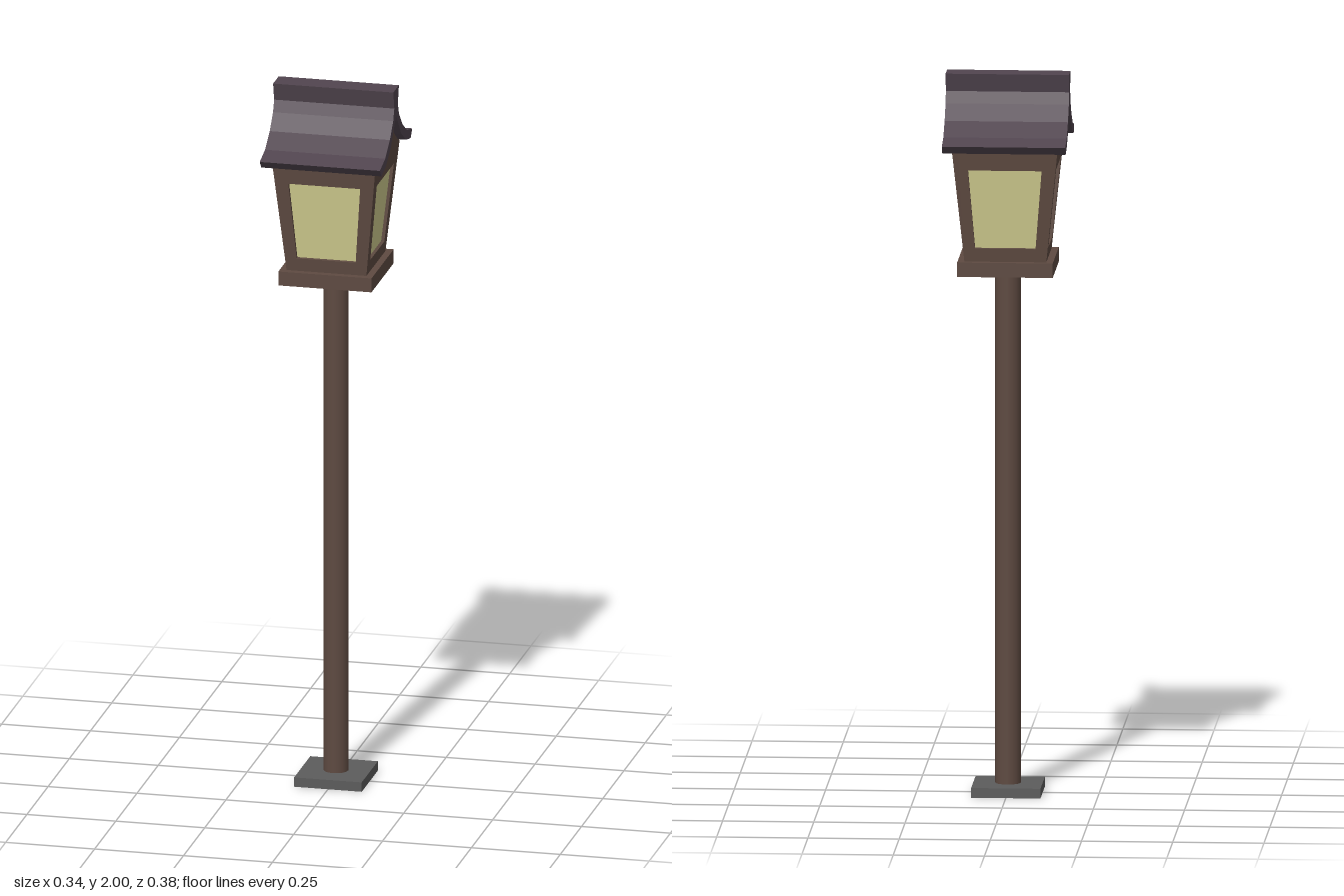
import * as THREE from 'three';

const wood = new THREE.MeshStandardMaterial({ color: 0x5e4a41, flatShading: true });
const poleWood = new THREE.MeshStandardMaterial({ color: 0x5e4a41 });
const tile = new THREE.MeshStandardMaterial({ color: 0x51454f, flatShading: true });
const stone = new THREE.MeshStandardMaterial({ color: 0x5c5c5c, flatShading: true });
const paper = new THREE.MeshStandardMaterial({ color: 0xcfcb8e, side: THREE.DoubleSide });

const BODY_Y = 1.49;      // bottom of the lantern body
const BODY_HALF = 0.112;  // half width there
const SLOPE = 0.103;      // outward flare per unit of height

// Half profiles of the roof as [z, y]: upper surface from ridge to eave, underside from eave to apex
const roofTop = [[0.033, 2.0], [0.021, 1.95], [0.034, 1.918], [0.073, 1.876], [0.128, 1.84], [0.191, 1.825]];
const roofUnder = [[0.172, 1.803], [0.12, 1.815], [0.062, 1.85], [0.02, 1.9], [0, 1.925]];

function shapeOf(points) {
  return new THREE.Shape(points.map(([x, y]) => new THREE.Vector2(x, y)));
}

// Closes a right-hand half outline by mirroring it across x = 0
function mirrored(half) {
  const other = half.filter(([x]) => x !== 0).map(([x, y]) => [-x, y]).reverse();
  return [...half, ...other];
}

function add(parent, name, geometry, material, x = 0, y = 0, z = 0) {
  const mesh = new THREE.Mesh(geometry, material);
  mesh.name = name;
  mesh.position.set(x, y, z);
  parent.add(mesh);
  return mesh;
}

// One leaning wall with a tapered window and a recessed pane
function makeWall(gabled) {
  const wall = new THREE.Group();
  const halfAt = (y) => BODY_HALF + (y - BODY_Y) * SLOPE;
  const half = [[BODY_HALF, BODY_Y], [halfAt(1.808), 1.808]];
  if (gabled) half.push([0.12, 1.818], [0.062, 1.853], [0.02, 1.903], [0, 1.928]);
  const outline = mirrored(half).map(([x, y]) => [x, y - BODY_Y]);
  const opening = [[-0.083, 0.04], [-0.101, 0.262], [0.101, 0.262], [0.083, 0.04]];

  const frame = shapeOf(outline);
  frame.holes.push(new THREE.Path(opening.map(([x, y]) => new THREE.Vector2(x, y))));
  const frameGeometry = new THREE.ExtrudeGeometry(frame, { depth: 0.016, bevelEnabled: false });
  add(wall, 'windowFrame', frameGeometry, wood, 0, 0, -0.016);
  add(wall, 'windowPane', new THREE.ShapeGeometry(shapeOf(opening)), paper, 0, 0, -0.009);

  wall.position.set(0, BODY_Y, BODY_HALF);
  wall.rotation.x = Math.atan(SLOPE);
  return wall;
}

export function createModel() {
  const model = new THREE.Group();
  model.name = 'lanternPost';

  // Foot, post and shelf
  add(model, 'footPlate', new THREE.BoxGeometry(0.19, 0.027, 0.19), stone, 0, 0.0135, 0);
  add(model, 'post', new THREE.CylinderGeometry(0.035, 0.035, 1.44, 16), poleWood, 0, 0.74, 0);
  add(model, 'shelf', new THREE.BoxGeometry(0.262, 0.04, 0.262), wood, 0, 1.473, 0);

  // Four walls; the two facing sideways rise into gables
  const names = ['frontWall', 'leftWall', 'backWall', 'rightWall'];
  names.forEach((name, i) => {
    const side = new THREE.Group();
    side.name = name;
    side.rotation.y = i * Math.PI / 2;
    side.add(makeWall(i % 2 === 1));
    model.add(side);
  });

  // Curved roof swept along x, with a flared ridge
  const roofShape = shapeOf(mirrored([...roofTop, ...roofUnder]));
  const roofGeometry = new THREE.ExtrudeGeometry(roofShape, { depth: 0.338, bevelEnabled: false });
  roofGeometry.translate(0, 0, -0.169);
  roofGeometry.rotateY(Math.PI / 2);
  add(model, 'roof', roofGeometry, tile);

  return model;
}
